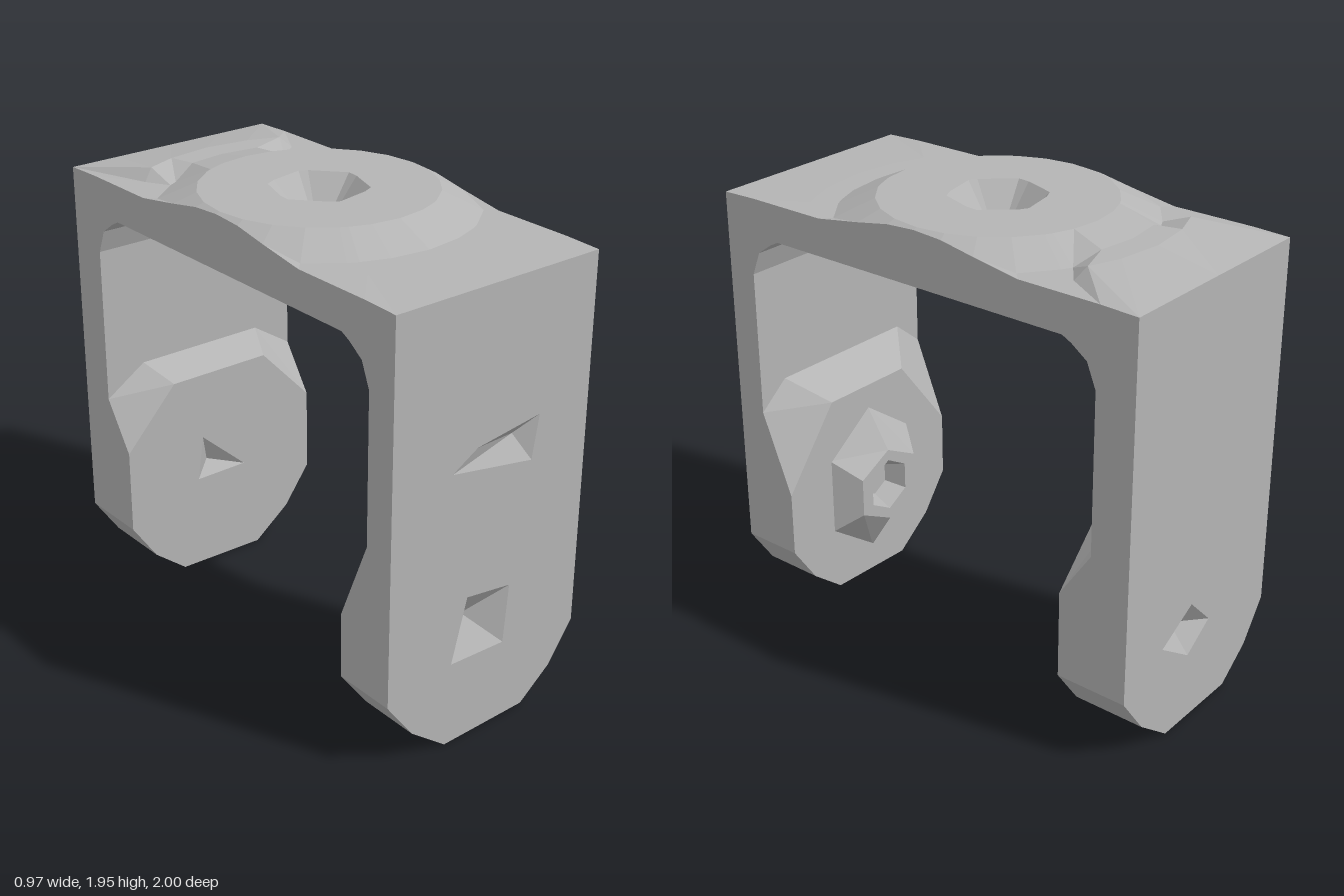
import * as THREE from 'three';

const grey = new THREE.MeshStandardMaterial({ color: 0xb4b4b4, flatShading: true, side: THREE.DoubleSide });
grey.name = 'plain grey';

const W = 0.485; // half width of the bracket

function mesh(name, geometry) {
  const m = new THREE.Mesh(geometry, grey);
  m.name = name;
  return m;
}

// Skin a list of rings (equal point counts); optional flip of the facing
function loft(rings, flip = false) {
  const pos = [];
  const tri = (a, b, c) => pos.push(...a, ...(flip ? c : b), ...(flip ? b : c));
  for (let k = 0; k + 1 < rings.length; k++) {
    const A = rings[k], B = rings[k + 1], n = A.length;
    for (let i = 0; i < n; i++) {
      const j = (i + 1) % n;
      tri(A[i], A[j], B[j]);
      tri(A[i], B[j], B[i]);
    }
  }
  const g = new THREE.BufferGeometry();
  g.setAttribute('position', new THREE.Float32BufferAttribute(pos, 3));
  g.computeVertexNormals();
  return g;
}

const toPath = (pts, Type) => new Type(pts.map(([x, y]) => new THREE.Vector2(x, y)));
const at = (pts, z) => pts.map(([x, y]) => [x, y, z]);
const point = (n, p) => Array.from({ length: n }, () => p);

function slab(pts, z0, z1, holes = []) {
  const s = toPath(pts, THREE.Shape);
  s.holes = holes.map((h) => toPath(h, THREE.Path));
  const g = new THREE.ExtrudeGeometry(s, { depth: z1 - z0, bevelEnabled: false });
  return g.translate(0, 0, z0);
}

// Faceted rounded foot shared by the arms and bosses
const foot = [[-W, 0.3], [-0.36, 0.13], [-0.19, 0], [0.22, 0.01], [0.37, 0.13], [W, 0.3]];

// One arm facing +z, with tapered pits cut in its outer face
function arm(name, inner, pits) {
  const g = new THREE.Group();
  g.name = name;
  const outline = [...foot, [W, 1.72], [-W, 1.72]];
  g.add(mesh('armSkin', slab(outline, 0.91, 1, pits.map((p) => p.rim))));
  g.add(mesh('armCore', slab(outline, inner, 0.91)));
  for (const { rim, tip } of pits) {
    g.add(mesh('armPit', loft([at(rim, 1), point(rim.length, tip)])));
  }
  // faceted fillet under the top plate
  const f = inner;
  const fillet = slab([[-f, 1.55], [-f, 1.73], [0.17 - f, 1.73], [0.11 - f, 1.7], [0.04 - f, 1.65]], -W, W);
  g.add(mesh('cornerFillet', fillet.rotateY(Math.PI / 2)));
  return g;
}

// Top plate: rings around y, clipped to the rectangle, with a round raised pad
function topPlate() {
  const corner = Math.atan2(1, W), angles = [];
  for (let i = 0; i < 24; i++) angles.push((i * Math.PI) / 12);
  for (const c of [corner, Math.PI - corner, Math.PI + corner, -corner + 2 * Math.PI]) angles.push(c);
  angles.sort((a, b) => a - b);
  const limit = (a) => Math.min(W / Math.max(1e-6, Math.abs(Math.cos(a))), 1 / Math.max(1e-6, Math.abs(Math.sin(a))));
  // a six sided radius for the central recesses
  const hex = (a) => {
    const s = Math.PI / 3;
    return Math.cos(s / 2) / Math.cos((((a + 0.2) % s) + s) % s - s / 2);
  };
  const ring = (radius, y) => angles.map((a) => {
    const r = Math.min(radius(a), limit(a));
    const x = r * Math.cos(a), z = r * Math.sin(a);
    return [x, typeof y === 'function' ? y(r, x, z) : y, z];
  });
  const top = (r, x, z) => {
    const pad = 1.95 - 0.075 * THREE.MathUtils.clamp((r - 0.47) / 0.16, 0, 1);
    const ridge = z < -0.6 && z > -0.9 && Math.abs(x) < 0.35 ? 1.92 : 0;
    return Math.max(pad, ridge) - (r > 0.99 ? 0.005 : 0);
  };
  return loft([
    ring(() => 0, 1.83),
    ring((a) => 0.1 * hex(a), 1.84),
    ring((a) => 0.205 * hex(a), 1.95),
    ring(() => 0.47, top),
    ring(() => 0.63, top),
    ring(() => 0.74, top),
    ring(() => 2, top),
    ring(() => 2, 1.72),
    ring((a) => 0.17 * hex(a), 1.72),
    ring((a) => 0.09 * hex(a), 1.78),
    ring(() => 0, 1.78),
  ]);
}

export function createModel() {
  const model = new THREE.Group();
  model.name = 'bracket';
  model.add(mesh('topPlate', topPlate()));

  // front arm with a slot and a pit
  const front = arm('frontArm', 0.87, [
    { rim: [[-0.2, 1.18], [0.2, 1.11], [0.23, 1.29], [-0.08, 1.25]], tip: [0.14, 1.22, 0.95] },
    { rim: [[-0.17, 0.36], [0.1, 0.35], [0.12, 0.6], [-0.1, 0.63]], tip: [-0.05, 0.5, 0.915] },
  ]);
  // sloping boss on the inside of the front arm
  const shoulder = (w, y0, y1) => [[W, y0], [w, y1], [-w, y1], [-W, y0]];
  const bossBase = [...foot, ...shoulder(0.35, 0.93, 1.04)];
  const bossFace = [...foot, ...shoulder(0.22, 0.58, 0.92)];
  front.add(mesh('frontBoss', loft([at(bossBase, 0.87), at(bossFace, 0.73), point(10, [0, 0.47, 0.73])], true)));
  // hollow stud on the boss
  const hexRing = (rx, ry, z) => Array.from({ length: 6 }, (_, i) => {
    const a = (i * Math.PI) / 3 + Math.PI / 6;
    return [rx * Math.cos(a), 0.47 + ry * Math.sin(a), z];
  });
  front.add(mesh('hollowStud', loft([
    hexRing(0.28, 0.35, 0.735), hexRing(0.19, 0.17, 0.62), hexRing(0.12, 0.12, 0.62),
    hexRing(0.08, 0.08, 0.71), point(6, [0, 0.47, 0.71]),
  ], true)));
  model.add(front);

  // back arm, turned to face backwards
  const back = arm('backArm', 0.83, [
    { rim: [[-0.24, 0.42], [-0.06, 0.3], [0.08, 0.4], [-0.05, 0.53]], tip: [-0.08, 0.43, 0.92] },
  ]);
  // flat disc boss with a small three sided nick
  const discBase = [...foot, ...shoulder(0.3, 0.88, 1.0)];
  const disc = [...foot, ...shoulder(0.24, 0.67, 0.93)];
  const nick = [[-0.12, 0.43], [0.13, 0.43], [0.1, 0.63]];
  back.add(mesh('backBoss', loft([at(discBase, 0.83), at(disc, 0.69)], true)));
  back.add(mesh('backBossFace', slab(disc, 0.69, 0.74, [nick])));
  back.add(mesh('bossNick', loft([at(nick, 0.69), point(3, [0.05, 0.49, 0.74])], true)));
  back.rotation.y = Math.PI;
  model.add(back);

  return model;
}
